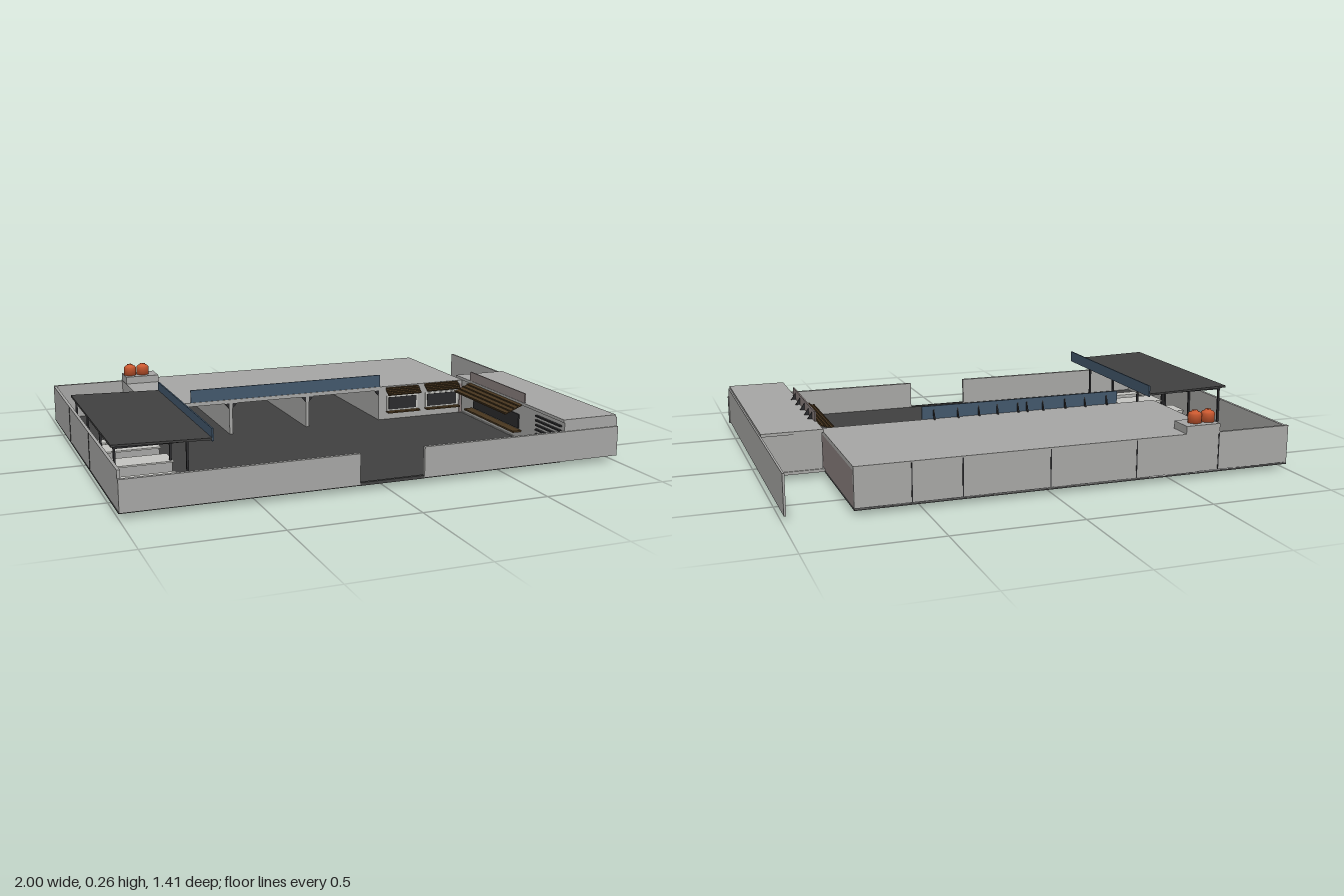
import * as THREE from 'three';

export function createModel() {
  const root = new THREE.Group();
  const mat = (name, color) => {
    const m = new THREE.MeshStandardMaterial({ color });
    m.name = name;
    return m;
  };
  const concrete = mat('concrete', 0xa6a6a4);
  const asphalt = mat('asphalt', 0x404040);
  const metal = mat('dark metal', 0x2b2b2d);
  const blue = mat('blue fascia', 0x42576b);
  const wood = mat('brown wood', 0x48361f);
  const plaster = mat('dusty plaster', 0x8a7f7e);
  const orange = mat('orange tank', 0xc9582f);
  const pale = mat('pale bench', 0xc4c4c0);

  const add = (name, geo, material, parent = root) => {
    const m = new THREE.Mesh(geo, material);
    m.name = name;
    parent.add(m);
    return m;
  };
  // Box given by its minimum and maximum on each axis
  const box = (name, material, x0, x1, y0, y1, z0, z1, parent = root) => {
    const m = add(name, new THREE.BoxGeometry(x1 - x0, y1 - y0, z1 - z0), material, parent);
    m.position.set((x0 + x1) / 2, (y0 + y1) / 2, (z0 + z1) / 2);
    return m;
  };
  // Triangle in (outward, up) extruded sideways by a small thickness
  const bracket = (name, material, w, h, t) => {
    const s = new THREE.Shape([new THREE.Vector2(0, 0), new THREE.Vector2(w, 0), new THREE.Vector2(0, h)]);
    const g = new THREE.ExtrudeGeometry(s, { depth: t, bevelEnabled: false });
    g.translate(0, 0, -t / 2);
    return add(name, g, material);
  };

  // Ground slab and the yard's outer walls
  box('groundSlab', asphalt, -1, 0.75, 0.02, 0.03, -0.7, 0.695);
  box('gateSill', asphalt, -0.11, 0.15, 0.022, 0.034, 0.69, 0.703);
  box('frontWallRight', concrete, -1, -0.11, 0.025, 0.145, 0.69, 0.705);
  box('frontWallLeft', concrete, 0.15, 1, 0.025, 0.145, 0.69, 0.705);
  box('sideWall', concrete, -1, -0.988, 0.025, 0.175, -0.7, 0.69);
  box('backWall', concrete, -1, 0.75, 0.025, 0.178, -0.7, -0.688);
  box('farSideWall', concrete, 0.988, 0.996, 0.03, 0.182, -0.705, 0.7);

  // Joints between the outer wall panels
  for (const x of [0.54, 0.35, 0.01, -0.34, -0.69])
    box('wallJoint', metal, x - 0.002, x + 0.002, 0.03, 0.176, -0.7015, -0.7);
  for (const z of [-0.28, 0.16])
    box('wallJoint', metal, -1.0015, -1, 0.03, 0.173, z - 0.002, z + 0.002);

  // Back building: roof, bay partitions and the closed end
  box('backRoof', concrete, -0.695, 0.75, 0.165, 0.181, -0.7, -0.14);
  box('endWall', plaster, 0.738, 0.75, 0.03, 0.165, -0.688, -0.14);
  for (const x of [-0.687, -0.345, 0, 0.345]) {
    box('bayPartition', concrete, x - 0.007, x + 0.007, 0.03, 0.165, -0.688, -0.145);
    for (const s of [-1, 1]) {
      if (x < -0.6 && s < 0) continue;
      if (x > 0.3 && s > 0) continue;
      const b = bracket('bayHaunch', concrete, 0.022, -0.024, 0.01);
      b.position.set(x + s * 0.007, 0.165, -0.15);
      if (s < 0) b.rotation.y = Math.PI;
      b.material = metal;
      // Mirrored order of corners: keep the faces visible
      b.geometry.computeVertexNormals();
    }
  }
  box('kioskFront', concrete, 0.352, 0.738, 0.03, 0.165, -0.155, -0.145);
  for (const [a, b] of [[0.385, 0.52], [0.575, 0.72]]) {
    box('kioskFrame', pale, a - 0.008, b + 0.008, 0.066, 0.136, -0.145, -0.141);
    box('kioskWindow', metal, a, b, 0.074, 0.13, -0.141, -0.139);
    box('kioskCounter', wood, a - 0.01, b + 0.01, 0.062, 0.068, -0.145, -0.115);
  }

  // Blue fascia over the bays, with struts behind
  box('bayFascia', blue, -0.52, 0.34, 0.182, 0.235, -0.145, -0.139);
  for (const x of [-0.47, -0.37, -0.28, -0.18, -0.11, -0.07, 0.02, 0.1, 0.19, 0.29]) {
    const b = bracket('fasciaStrut', metal, 0.016, 0.04, 0.005);
    b.rotation.y = Math.PI / 2;
    b.position.set(x, 0.181, -0.145);
  }

  // Side building with its floor
  box('sideFloor', concrete, 0.75, 0.988, 0.022, 0.034, -0.2, 0.69);
  box('sideBuilding', concrete, 0.755, 0.988, 0.034, 0.18, -0.195, 0.7);
  box('sideRoof', concrete, 0.75, 0.99, 0.18, 0.192, -0.2, 0.7);
  for (let i = 0; i < 7; i++)
    box('shutterSlat', metal, 0.744, 0.755, 0.045 + i * 0.019, 0.051 + i * 0.019, 0.5, 0.68);
  box('sideWindow', metal, 0.75, 0.755, 0.075, 0.135, -0.03, 0.36);
  box('sideCounter', wood, 0.715, 0.755, 0.064, 0.071, -0.05, 0.38);

  // Sign board on the side roof, with struts behind
  box('signBoard', plaster, 0.752, 0.758, 0.19, 0.232, -0.07, 0.4);
  for (const z of [-0.02, 0.05, 0.14, 0.24, 0.34]) {
    const b = bracket('signStrut', metal, 0.02, 0.03, 0.005);
    b.position.set(0.758, 0.191, z);
  }

  // Sloping slatted awnings
  const awning = (width, depth, drop) => {
    const g = new THREE.Group();
    g.name = 'awning';
    const tilt = new THREE.Group();
    tilt.rotation.x = Math.atan2(drop, depth);
    g.add(tilt);
    const len = Math.hypot(depth, drop);
    box('awningPanel', wood, -width / 2, width / 2, -0.004, 0, 0, len, tilt);
    for (let i = 0; i <= 4; i++) {
      const z = (i / 4) * (len - 0.005);
      box('awningSlat', wood, -width / 2, width / 2, 0, 0.004, z, z + 0.005, tilt);
    }
    root.add(g);
    return g;
  };
  awning(0.16, 0.035, 0.026).position.set(0.45, 0.173, -0.143);
  awning(0.165, 0.035, 0.026).position.set(0.643, 0.177, -0.143);
  const sideAwning = awning(0.45, 0.085, 0.036);
  sideAwning.rotation.y = -Math.PI / 2;
  sideAwning.position.set(0.757, 0.186, 0.16);

  // Canopy on posts with a blue fascia
  const canopy = box('canopyRoof', asphalt, -1, -0.635, 0.226, 0.234, -0.22, 0.6);
  canopy.rotation.z = -0.025;
  box('canopyFascia', blue, -0.638, -0.632, 0.217, 0.264, -0.22, 0.6);
  for (const z of [-0.19, 0.065, 0.32, 0.575]) {
    for (const x of [-0.984, -0.724])
      box('canopyPost', metal, x - 0.004, x + 0.004, 0.03, 0.228, z - 0.004, z + 0.004);
    box('canopyRafter', metal, -0.99, -0.64, 0.218, 0.225, z - 0.004, z + 0.004);
  }

  // Tables and benches below the canopy, footed through the slab
  for (const [z, w, h] of [[0.49, 0.04, 0.055], [0.28, 0.1, 0.075], [0.07, 0.1, 0.075], [-0.11, 0.04, 0.055]]) {
    box('tableBlock', concrete, -0.93, -0.72, 0, h, z - w / 2, z + w / 2);
    box('tableTop', pale, -0.935, -0.715, h, h + 0.006, z - w / 2 - 0.006, z + w / 2 + 0.006);
  }
  for (const z of [0.39, 0.175, -0.03])
    box('bench', pale, -0.93, -0.72, 0.045, 0.053, z - 0.015, z + 0.015);

  // Roof tanks on a plinth
  box('tankPlinth', concrete, -0.693, -0.548, 0.181, 0.212, -0.7, -0.6);
  const profile = [[0, 0], [0.027, 0], [0.027, 0.036], [0.022, 0.042], [0.012, 0.046], [0.012, 0.05], [0, 0.05]]
    .map(([r, y]) => new THREE.Vector2(r, y));
  for (const x of [-0.665, -0.608])
    add('waterTank', new THREE.LatheGeometry(profile, 20), orange).position.set(x, 0.21, -0.65);

  return root;
}
